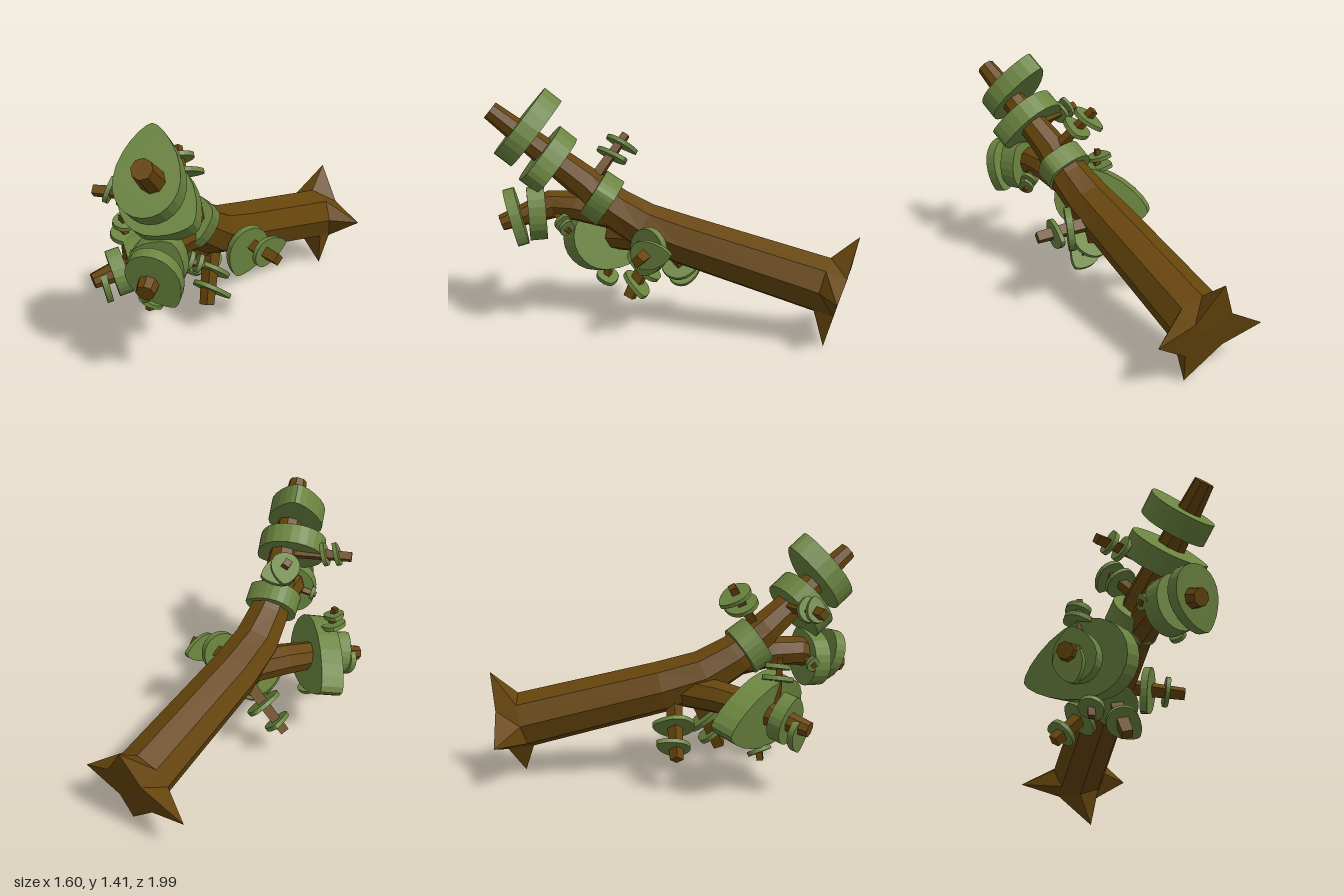
import * as THREE from 'three';

const V = (a) => new THREE.Vector3(...a);
const bark = new THREE.MeshStandardMaterial({ color: 0x66450c, flatShading: true });
const leaf = new THREE.MeshStandardMaterial({ color: 0x6b8440, flatShading: true });

// Right-handed frame whose z runs along dir and whose y leans toward hint
function frame(dir, hint) {
  const z = dir.clone().normalize();
  const y = hint.clone().addScaledVector(z, -hint.dot(z)).normalize();
  return { x: new THREE.Vector3().crossVectors(y, z), y, z };
}

// Tapered limb through stations [x, y, z, radius, tips?];
// tips replace every second corner of that section, making a star
function limb(name, stations, sides, hint = [0, 1, 0]) {
  const pts = stations.map((s) => V(s.slice(0, 3)));
  const pos = [], idx = [], n = pts.length;
  pts.forEach((p, i) => {
    const dir = pts[Math.min(i + 1, n - 1)].clone().sub(pts[Math.max(i - 1, 0)]);
    const f = frame(dir, V(hint));
    const [, , , r, tips] = stations[i];
    for (let k = 0; k < sides; k++) {
      const a = (k / sides) * Math.PI * 2;
      const q = tips && k % 2 === 0 ? V(tips[k / 2])
        : p.clone().addScaledVector(f.x, -Math.sin(a) * r).addScaledVector(f.y, Math.cos(a) * r);
      pos.push(q.x, q.y, q.z);
    }
  });
  for (let i = 0; i < n - 1; i++) {
    for (let k = 0; k < sides; k++) {
      const a = i * sides + k, b = i * sides + ((k + 1) % sides);
      idx.push(a, b, b + sides, a, b + sides, a + sides);
    }
  }
  // End caps
  const c0 = n * sides, last = (n - 1) * sides;
  pos.push(...pts[0].toArray(), ...pts[n - 1].toArray());
  for (let k = 0; k < sides; k++) {
    const k1 = (k + 1) % sides;
    idx.push(c0, k1, k, c0 + 1, last + k, last + k1);
  }
  const g = new THREE.BufferGeometry();
  g.setAttribute('position', new THREE.Float32BufferAttribute(pos, 3));
  g.setIndex(idx);
  g.computeVertexNormals();
  const m = new THREE.Mesh(g, bark);
  m.name = name;
  return m;
}

// Flat teardrop pad of foliage: half width w, rounded back, tapered tip toward `point`
function pad(name, centre, normal, point, w, back, tip, thick) {
  const s = new THREE.Shape();
  s.moveTo(0, tip);
  s.bezierCurveTo(-w * 0.25, tip, -w, tip * 0.5, -w, 0);
  s.bezierCurveTo(-w, -back * 0.55, -w * 0.55, -back, 0, -back);
  s.bezierCurveTo(w * 0.55, -back, w, -back * 0.55, w, 0);
  s.bezierCurveTo(w, tip * 0.5, w * 0.25, tip, 0, tip);
  const g = new THREE.ExtrudeGeometry(s, { depth: thick, bevelEnabled: false, curveSegments: 6 });
  g.translate(0, 0, -thick / 2);
  const f = frame(V(normal), V(point));
  const m = new THREE.Mesh(g, leaf);
  m.quaternion.setFromRotationMatrix(new THREE.Matrix4().makeBasis(f.x, f.y, f.z));
  m.position.copy(V(centre));
  m.name = name;
  return m;
}

// Square twig from a to b, carrying thin pads [t, half width, tip, point]
function twig(name, a, b, r, pads, tilt = [0, 0, 0]) {
  const group = new THREE.Group();
  group.name = name;
  const dir = V(b).sub(V(a));
  const hint = Math.abs(dir.clone().normalize().y) > 0.8 ? [0, 0, 1] : [0, 1, 0];
  group.add(limb('twigStem', [[...a, r * 1.3], [...b, r]], 4, hint));
  const normal = dir.clone().normalize().add(V(tilt)).toArray();
  for (const [t, w, tip, point] of pads) {
    const c = V(a).addScaledVector(dir, t).toArray();
    group.add(pad('twigFoliage', c, normal, point, w, w, tip, 0.025));
  }
  return group;
}

export function createModel() {
  const tree = new THREE.Group();
  tree.name = 'fallenTree';

  // Trunk with star-shaped root flare, bending up into the main branch
  const roots = [[0.58, 0.62, -0.87], [0.26, 0.26, -1], [0.56, 0, -0.67], [0.8, 0.32, -0.6]];
  tree.add(limb('trunk', [
    [0.55, 0.3, -0.79, 0.165, roots], [0.48, 0.335, -0.7, 0.165], [0, 0.54, -0.06, 0.15],
    [-0.13, 0.615, 0.14, 0.14], [-0.21, 0.72, 0.3, 0.125], [-0.28, 0.87, 0.46, 0.1],
    [-0.415, 1.295, 0.96, 0.055],
  ], 8));

  // Side branches
  tree.add(limb('rightBranch', [
    [0.02, 0.53, -0.02, 0.1], [-0.3, 0.51, 0.13, 0.095], [-0.48, 0.48, 0.22, 0.085], [-0.78, 0.4, 0.36, 0.045],
  ], 8));
  tree.add(limb('frontBranch', [
    [-0.18, 0.68, 0.26, 0.1], [-0.3, 0.73, 0.5, 0.09], [-0.37, 0.735, 0.63, 0.085], [-0.43, 0.635, 0.92, 0.048],
  ], 8));

  // Thick foliage: centre, normal, point direction, half width, back, tip, thickness
  const up = [-0.19, 0.62, 0.73];
  const pads = [
    ['mainFoliage', [-0.25, 0.775, 0.365], [-0.3, 0.55, 0.75], [1, 0.2, 0], 0.155, 0.15, 0.165, 0.12],
    ['mainFoliage', [-0.365, 1.0, 0.65], up, [1, -0.6, 0.4], 0.195, 0.21, 0.23, 0.12],
    ['mainFoliage', [-0.4, 1.15, 0.785], up, [0.05, 1, -0.6], 0.168, 0.185, 0.29, 0.12],
    ['frontFoliage', [-0.38, 0.69, 0.72], [-0.2, -0.05, 1], [0.6, 1, 0], 0.15, 0.17, 0.18, 0.1],
    ['frontFoliage', [-0.39, 0.695, 0.845], [-0.2, -0.25, 0.95], [0.6, -1, 0], 0.135, 0.15, 0.2, 0.065],
    ['rightFoliage', [-0.5, 0.47, 0.3], [-0.93, -0.24, 0.22], [0, -0.1, -1], 0.2, 0.22, 0.39, 0.14],
    ['rightFoliage', [-0.64, 0.43, 0.31], [-0.93, -0.24, 0.3], [0, 1, 0], 0.12, 0.13, 0.15, 0.08],
    ['rightFoliage', [-0.72, 0.375, 0.33], [-0.95, -0.2, 0.3], [0, -1, 0.2], 0.08, 0.08, 0.12, 0.035],
  ];
  pads.forEach((p) => tree.add(pad(...p)));

  // Twigs with thin pads
  tree.add(twig('sideTwig', [-0.34, 1.0, 0.58], [-0.72, 1.0, 0.5], 0.033,
    [[0.78, 0.06, 0.09, [0, 1, 0]], [0.58, 0.07, 0.08, [0, 1, 0]]], [0, 0.35, 0]));
  tree.add(twig('upperTwig', [-0.25, 0.86, 0.43], [-0.31, 1.13, 0.19], 0.03,
    [[0.83, 0.085, 0.12, [0, 0, -1]], [0.58, 0.09, 0.13, [1, 0, -0.4]]], [0, 0.25, 0]));
  tree.add(twig('leftTwig', [0, 0.55, 0.08], [0.24, 0.515, 0.32], 0.038,
    [[0.7, 0.085, 0.16, [1, 0, 0]]]));
  tree.add(pad('leftTwigFoliage', [0.07, 0.52, 0.19], [0.5, -0.1, 0.9], [-0.5, -1, 0], 0.12, 0.14, 0.17, 0.04));
  tree.add(twig('lowerTwig', [-0.13, 0.52, 0.07], [-0.16, 0.18, 0.23], 0.042,
    [[0.45, 0.12, 0.16, [-1, 0.3, 0]], [0.74, 0.09, 0.14, [1, -0.3, 0]]], [-0.35, 0, 0.25]));
  tree.add(twig('backTwig', [-0.05, 0.5, -0.02], [-0.3, 0.2, -0.17], 0.038,
    [[0.5, 0.11, 0.13, [0.3, 0, -1]], [0.82, 0.08, 0.13, [-0.2, 0, -1]]]));
  tree.add(twig('risingTwig', [-0.59, 0.48, 0.29], [-0.61, 0.77, 0.29], 0.022,
    [[0.83, 0.06, 0.1, [0, 0, -1]], [0.6, 0.08, 0.11, [0, 0, -1]]], [0.25, 0, 0.25]));
  tree.add(twig('hangingTwig', [-0.46, 0.44, 0.24], [-0.485, 0.17, 0.27], 0.025,
    [[0.8, 0.07, 0.08, [1, 0, 0]]], [-0.45, 0, 0]));
  tree.add(twig('innerTwig', [-0.34, 0.7, 0.62], [-0.16, 0.615, 0.59], 0.02,
    [[0.85, 0.045, 0.06, [0, 1, 0]], [0.6, 0.05, 0.06, [0, 1, 0]]]));
  tree.add(twig('outerTwig', [-0.38, 0.71, 0.66], [-0.53, 0.67, 0.62], 0.02,
    [[0.85, 0.04, 0.05, [0, 1, 0]]]));

  return tree;
}
